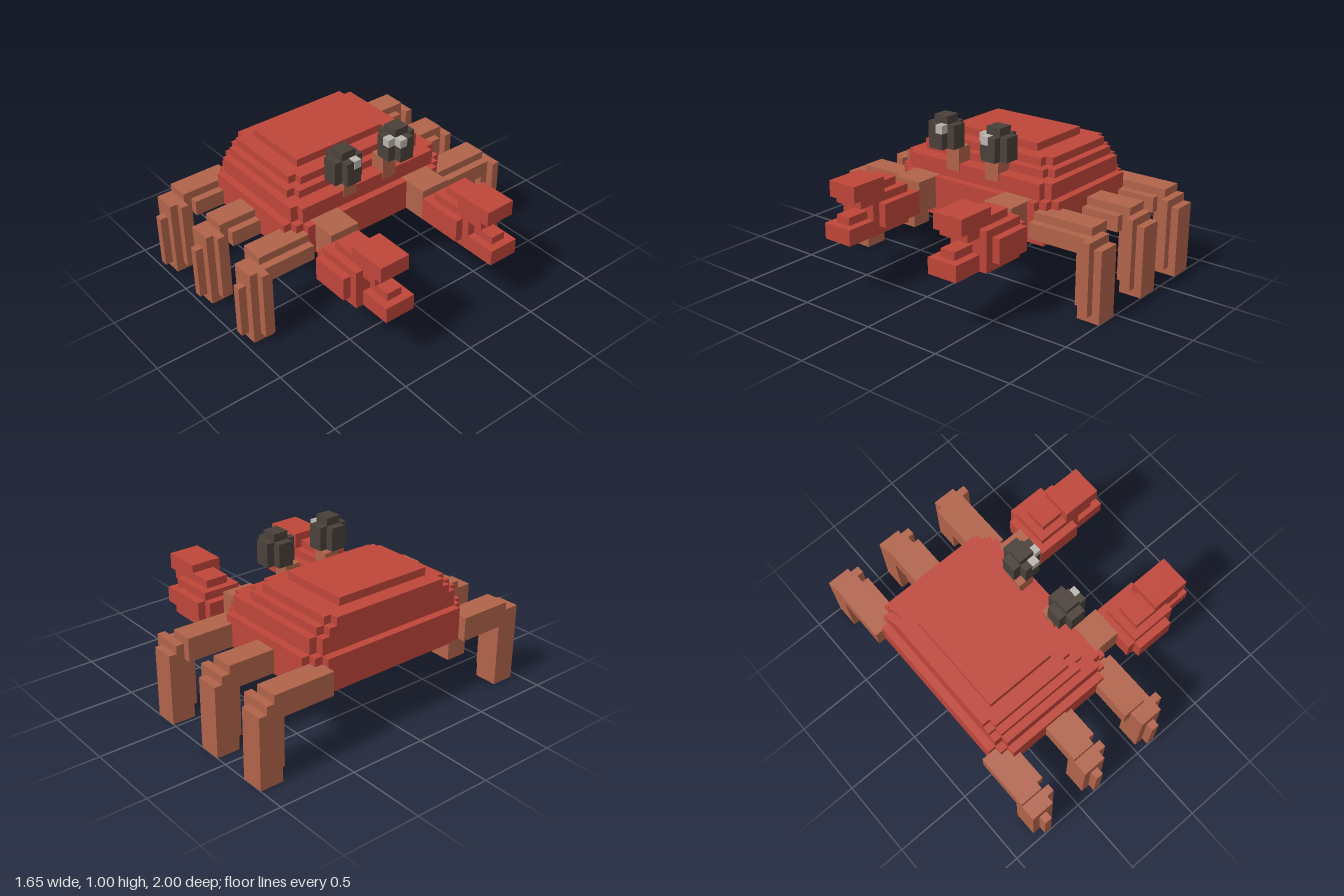
import * as THREE from 'three';

const mat = (name, color) => Object.assign(new THREE.MeshStandardMaterial({ color }), { name });

export function createModel() {
  const shellRed = mat('shellRed', 0xbe4539);
  const limbBrown = mat('limbBrown', 0xb1634a);
  const eyeDark = mat('eyeDark', 0x4a4039);
  const glintPale = mat('glintPale', 0xbab5ad);

  const crab = new THREE.Group();
  crab.name = 'crab';

  const group = (name) => {
    const g = new THREE.Group();
    g.name = name;
    crab.add(g);
    return g;
  };
  // box given by its min and max on each axis
  const box = (parent, name, material, x0, x1, y0, y1, z0, z1) => {
    const m = new THREE.Mesh(new THREE.BoxGeometry(x1 - x0, y1 - y0, z1 - z0), material);
    m.position.set((x0 + x1) / 2, (y0 + y1) / 2, (z0 + z1) / 2);
    m.name = name;
    parent.add(m);
  };
  // same box on the chosen side (s = 1 or -1 in z)
  const sideBox = (parent, name, material, s, x0, x1, y0, y1, z0, z1) =>
    box(parent, name, material, x0, x1, y0, y1, Math.min(s * z0, s * z1), Math.max(s * z0, s * z1));

  // stepped shell: [x0, x1, y0, y1, half depth]
  const shell = group('shell');
  [
    [-0.625, 0.025, 0.30, 0.35, 0.50],
    [-0.725, 0.075, 0.35, 0.40, 0.50],
    [-0.675, 0.025, 0.35, 0.40, 0.55],
    [-0.775, 0.125, 0.40, 0.60, 0.50],
    [-0.725, 0.075, 0.40, 0.60, 0.55],
    [-0.675, 0.025, 0.40, 0.60, 0.60],
    [-0.725, 0.075, 0.60, 0.70, 0.50],
    [-0.675, 0.025, 0.60, 0.70, 0.55],
    [-0.725, -0.025, 0.70, 0.75, 0.45],
    [-0.675, -0.075, 0.70, 0.75, 0.50],
    [-0.725, -0.075, 0.75, 0.80, 0.40],
    [-0.675, -0.125, 0.75, 0.80, 0.45],
  ].forEach(([x0, x1, y0, y1, d]) => box(shell, 'shellLayer', shellRed, x0, x1, y0, y1, -d, d));
  box(shell, 'shellTop', shellRed, -0.625, -0.175, 0.80, 0.85, -0.30, 0.35);

  // six legs: thigh, knee, ribbed shin; the front pair's shins sit further forward
  [[-0.825, 0], [-0.425, 0], [-0.025, 0.05]].forEach(([x, shift]) => {
    const sx = x + shift;
    for (const s of [1, -1]) {
      const leg = group(s > 0 ? 'leftLeg' : 'rightLeg');
      const end = s > 0 ? 0.85 : 0.90;
      sideBox(leg, 'thigh', limbBrown, s, x, x + 0.15, 0.40, 0.55, 0.50, end);
      sideBox(leg, 'thighRidge', limbBrown, s, x + 0.15, x + 0.20, 0.40, 0.50, 0.50, end - 0.05);
      sideBox(leg, 'knee', limbBrown, s, sx, sx + 0.15, 0.40, 0.50, 0.80, 0.95);
      const z = s > 0 ? 0.80 : -1.0;
      box(leg, 'shin', limbBrown, sx, sx + 0.15, 0, s > 0 ? 0.40 : 0.45, z, z + 0.15);
      box(leg, 'shinFrontRib', limbBrown, sx + 0.05, sx + 0.10, 0.05, 0.40, z + 0.15, z + 0.20);
      box(leg, 'shinSideRib', limbBrown, sx + 0.15, sx + 0.20, 0.05, 0.50, z + 0.05, z + 0.10);
    }
  });

  for (const s of [1, -1]) {
    const side = s > 0 ? 'left' : 'right';

    // arm and claw
    const claw = group(side + 'Claw');
    sideBox(claw, 'arm', limbBrown, s, 0.075, 0.275, 0.40, 0.602, 0.25, 0.45);
    [
      ['palmBase', 0.275, 0.575, 0.40, 0.55, 0.25, 0.55],
      ['palmOuter', 0.325, 0.575, 0.40, 0.55, 0.25, 0.60],
      ['palm', 0.325, 0.625, 0.35, 0.60, 0.30, 0.55],
      ['palmRidge', 0.375, 0.575, 0.60, 0.65, 0.35, 0.50],
      ['upperFinger', 0.525, 0.775, 0.60, 0.70, 0.30, 0.50],
      ['upperFingerUnderside', 0.575, 0.725, 0.55, 0.60, 0.30, 0.50],
      ['lowerFinger', 0.625, 0.825, 0.35, 0.45, 0.30, 0.50],
      ['lowerFingerRidge', 0.625, 0.775, 0.45, 0.50, 0.35, 0.45],
    ].forEach(([n, ...b]) => sideBox(claw, n, shellRed, s, ...b));

    // eye stalk and rounded-off eye
    const eye = group(side + 'Eye');
    sideBox(eye, 'eyeStalk', limbBrown, s, -0.025, 0.077, 0.65, 0.80, 0.10, 0.20);
    sideBox(eye, 'eyeball', eyeDark, s, -0.025, 0.175, 0.80, 0.95, 0.15, 0.25);
    sideBox(eye, 'eyeball', eyeDark, s, 0.025, 0.125, 0.80, 0.95, 0.10, 0.30);
    sideBox(eye, 'eyeTop', eyeDark, s, 0.025, 0.125, 0.95, 1.00, 0.15, 0.25);
    sideBox(eye, 'glint', glintPale, s, 0.125, 0.177, 0.90, 0.952, 0.148, 0.20);
    if (s < 0) sideBox(eye, 'glint', glintPale, s, 0.075, 0.127, 0.90, 0.952, 0.098, 0.15);
  }

  return crab;
}
